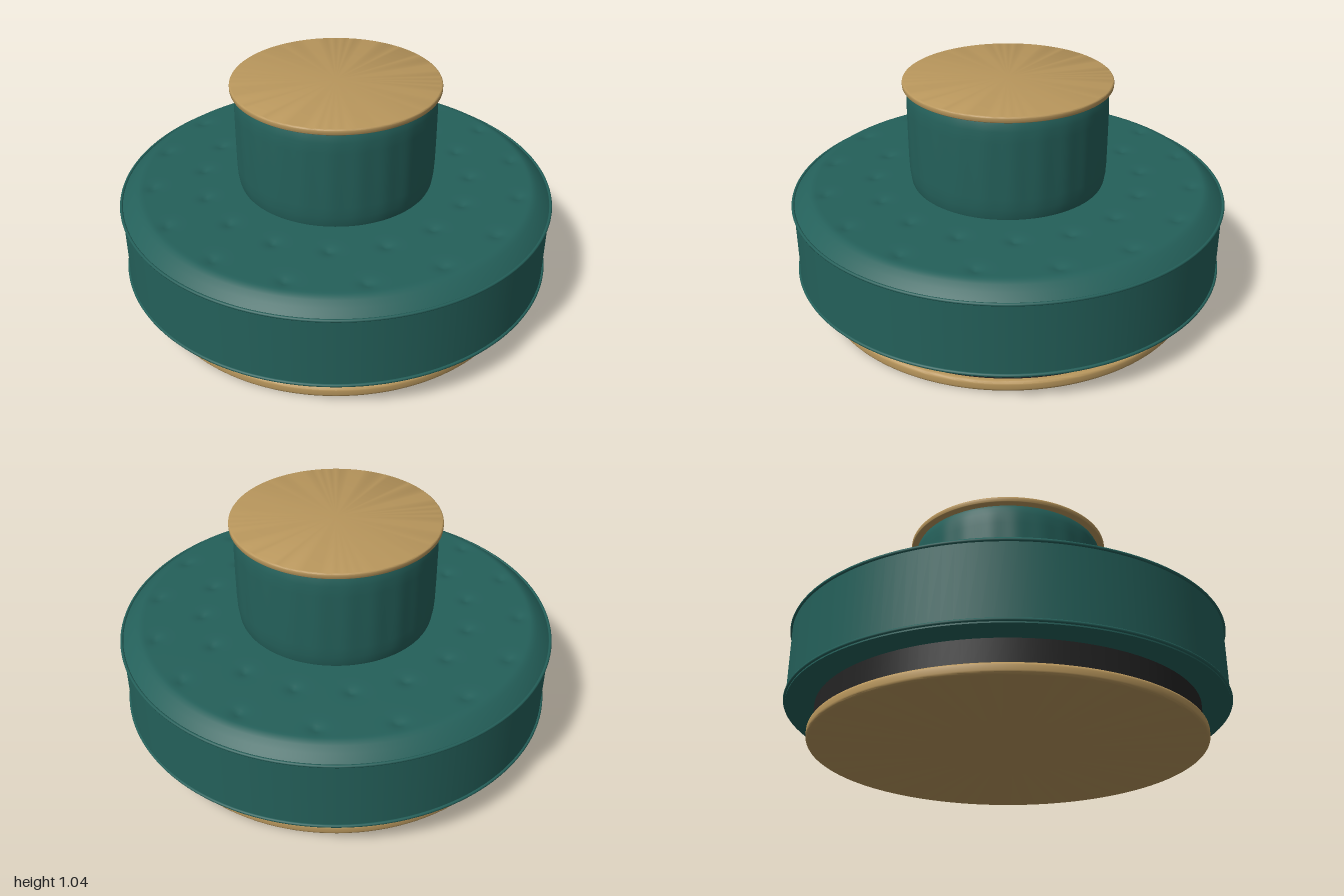
import * as THREE from 'three';
import { mergeVertices, toCreasedNormals } from 'three/addons/utils/BufferGeometryUtils.js';

const SEG = 128;
const material = (name, color) => {
  const m = new THREE.MeshStandardMaterial({ color });
  m.name = name;
  return m;
};

const lathe = (points, seg = SEG) =>
  new THREE.LatheGeometry(points.map(([r, y]) => new THREE.Vector2(r, y)), seg);

// Move vertices by a rule, then weld the seam and smooth the normals
function deform(geometry, rule) {
  geometry.deleteAttribute('uv');
  geometry.deleteAttribute('normal');
  const g = mergeVertices(geometry, 1e-5);
  const p = g.attributes.position;
  const v = new THREE.Vector3();
  for (let i = 0; i < p.count; i++) {
    rule(v.fromBufferAttribute(p, i));
    p.setXYZ(i, v.x, v.y, v.z);
  }
  g.computeVertexNormals();
  return g;
}

// Disc with a rounded rim
function roundedDisc(radius, y0, y1, bevel) {
  const points = [[0, y0]];
  for (let i = 0; i <= 4; i++) {
    const a = (i / 4) * Math.PI / 2;
    points.push([radius - bevel + bevel * Math.sin(a), y0 + bevel - bevel * Math.cos(a)]);
  }
  for (let i = 0; i <= 4; i++) {
    const a = (i / 4) * Math.PI / 2;
    points.push([radius - bevel + bevel * Math.cos(a), y1 - bevel + bevel * Math.sin(a)]);
  }
  points.push([0, y1]);
  return toCreasedNormals(lathe(points), 0.6);
}

export function createModel() {
  const group = new THREE.Group();
  const green = material('greenVelvet', 0x24605a);
  const gold = material('brushedGold', 0xb8965c);
  const black = material('blackPlinth', 0x242424);

  const add = (name, geometry, mat, y = 0) => {
    const mesh = new THREE.Mesh(geometry, mat);
    mesh.name = name;
    mesh.position.y = y;
    group.add(mesh);
    return mesh;
  };

  // Base ring and recessed plinth
  add('baseDisc', roundedDisc(0.89, 0, 0.05, 0.015), gold);
  add('plinth', new THREE.CylinderGeometry(0.865, 0.865, 0.115, SEG), black, 0.1025);

  // Upholstered seat with piping at both edges
  add('seatBody', new THREE.CylinderGeometry(0.99, 0.99, 0.345, SEG), green, 0.3275);
  for (const [name, y] of [['lowerPiping', 0.167], ['upperPiping', 0.5]]) {
    add(name, new THREE.TorusGeometry(0.993, 0.007, 8, SEG).rotateX(Math.PI / 2), green, y);
  }

  // Two staggered rings of button tufts pressed into the cushion
  const tufts = [];
  for (let i = 0; i < 16; i++) {
    const step = Math.PI / 8;
    for (const [r, a] of [[0.62, i * step], [0.845, (i + 0.5) * step]]) {
      tufts.push([r * Math.sin(a), r * Math.cos(a)]);
    }
  }
  const profile = [[0.988, 0.5], [0.975, 0.513], [0.955, 0.53], [0.93, 0.549], [0.912, 0.557]];
  for (let r = 0.9; r > 0.41; r -= 0.0125) profile.push([r, 0.56]);
  add('tuftedCushion', deform(lathe(profile, 256), (v) => {
    if (v.y < 0.55) return;
    for (const [x, z] of tufts) {
      const d = Math.hypot(v.x - x, v.z - z);
      v.y -= 0.009 * Math.exp(-d * d / 0.0012) + 0.005 * Math.exp(-d * d / 0.0002);
    }
  }), green);

  // Central backrest column with soft vertical channels
  const column = [[0.44, 0.55], [0.447, 0.57], [0.453, 0.61], [0.455, 0.66], [0.455, 0.78],
    [0.455, 0.92], [0.453, 0.97], [0.447, 1.0], [0.438, 1.02]];
  add('backColumn', deform(lathe(column, 192), (v) => {
    const a = Math.atan2(v.x, v.z);
    const k = 1 + 0.004 * Math.cos(24 * a) * Math.sin(Math.PI * (v.y - 0.55) / 0.47);
    v.x *= k;
    v.z *= k;
  }), green);

  // Gold top plate
  add('topPlate', roundedDisc(0.472, 1.017, 1.045, 0.008), gold);

  return group;
}
